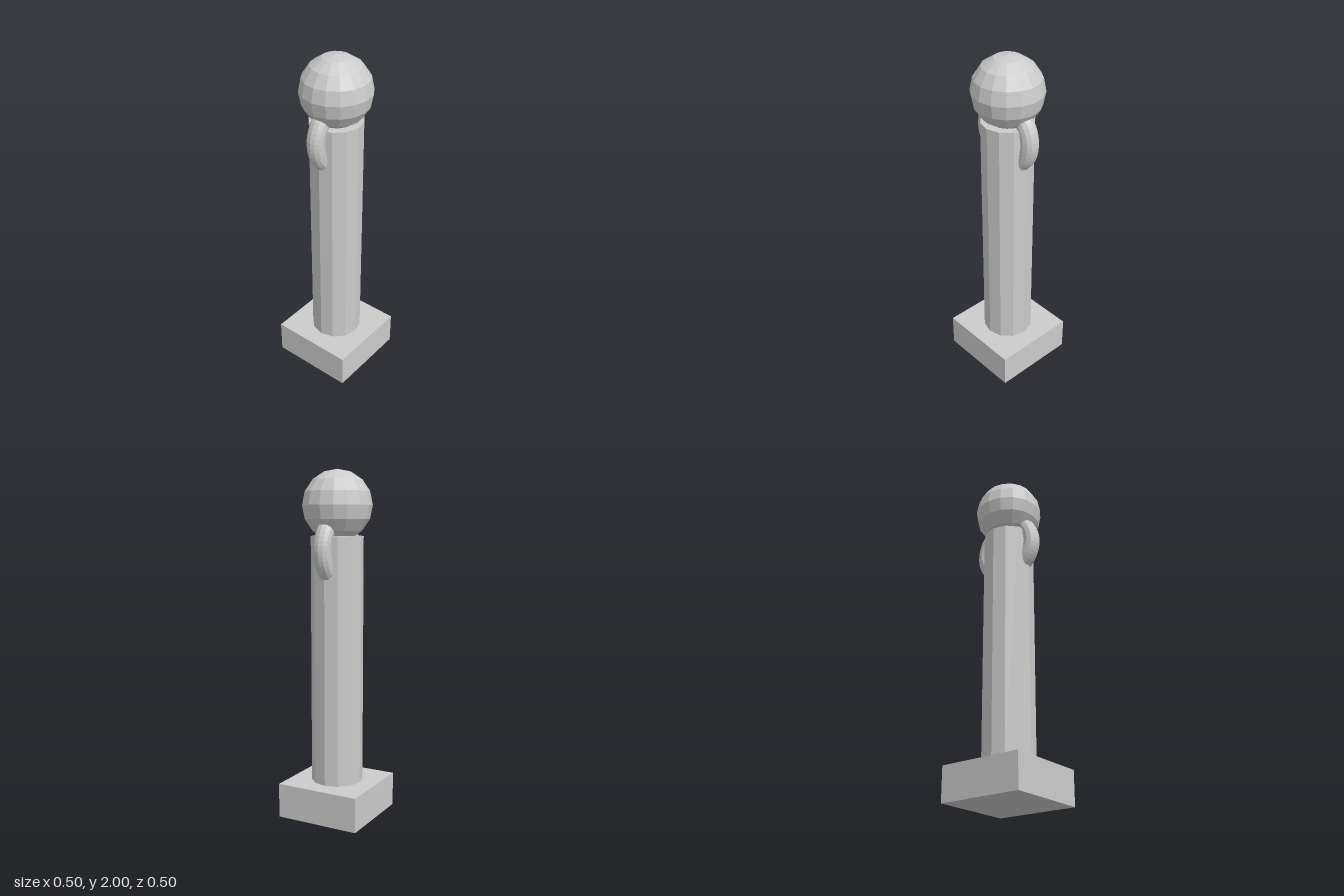
import * as THREE from 'three';

export function createModel() {
  const group = new THREE.Group();
  const material = new THREE.MeshStandardMaterial({ color: 0xcccccc, flatShading: true });

  const add = (name, geometry, y) => {
    const mesh = new THREE.Mesh(geometry, material);
    mesh.name = name;
    mesh.position.y = y;
    group.add(mesh);
  };

  // Square plinth
  add('base', new THREE.BoxGeometry(0.5, 0.2, 0.5), 0.1);

  // Twelve-sided post, from the plinth top to y = 1.63
  add('post', new THREE.CylinderGeometry(0.15, 0.15, 1.43, 12), 0.915);

  // Ring passing through the post, showing as a handle on each side
  add('ring', new THREE.TorusGeometry(0.17, 0.05, 12, 48), 1.55);

  // Faceted ball on top
  add('ball', new THREE.SphereGeometry(0.2, 16, 8), 1.8);

  return group;
}
